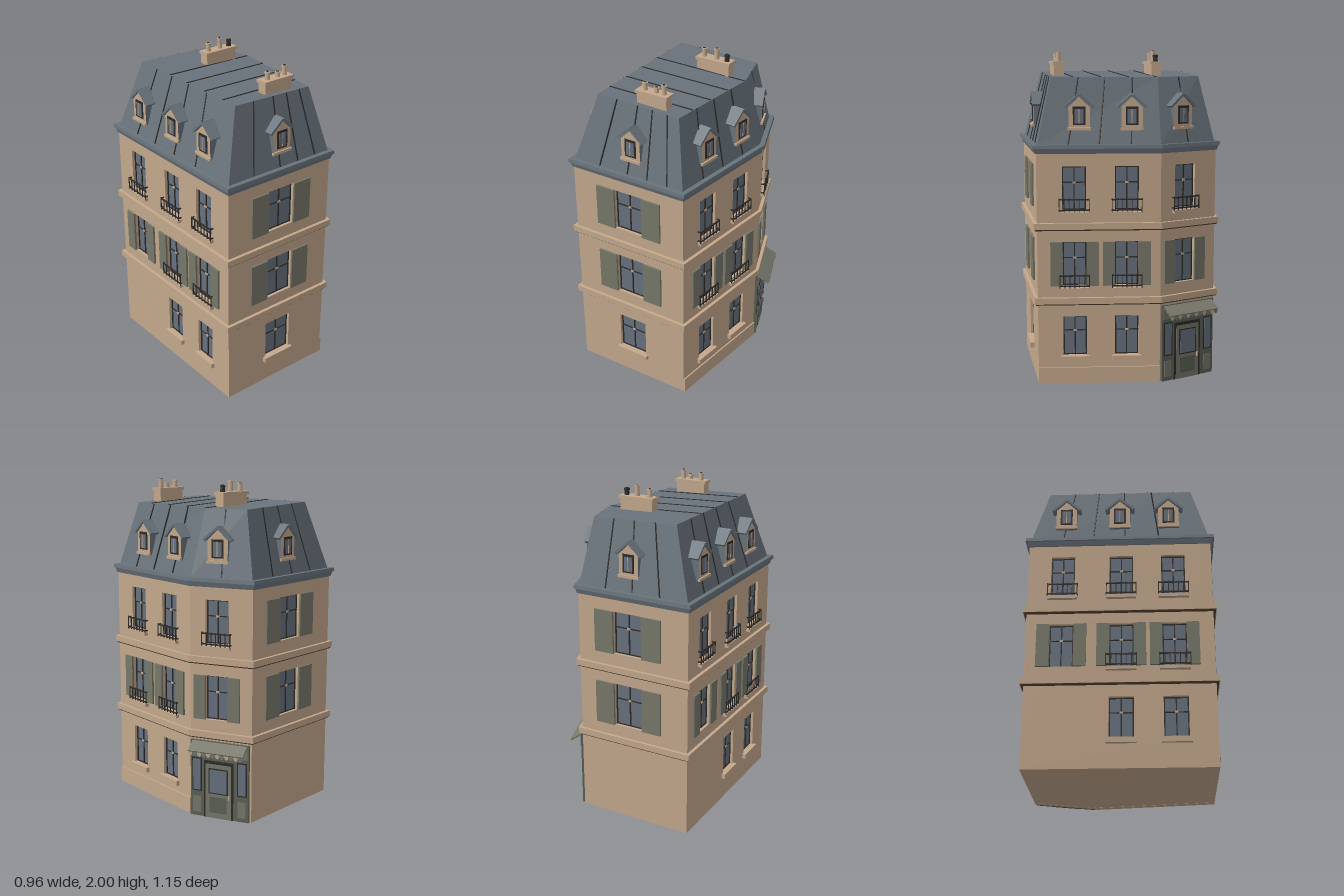
import * as THREE from 'three';

const mat = (name, color, side = THREE.FrontSide) => {
  const m = new THREE.MeshStandardMaterial({ color, side });
  m.name = name;
  return m;
};
const M = {
  wall: mat('warm stone', 0xc4a88c),
  roof: mat('slate', 0x69737b),
  shutter: mat('grey olive', 0x77786a),
  glass: mat('window glass', 0x67717e),
  dark: mat('dark iron', 0x2f2d2b),
  trim: mat('dark brown', 0x54402f),
  shop: mat('shopfront green', 0x5c6257),
  cloth: mat('awning trim', 0xb8a58c, THREE.DoubleSide),
};

function add(parent, name, geo, material, x = 0, y = 0, z = 0) {
  const m = new THREE.Mesh(geo, material);
  m.name = name;
  m.position.set(x, y, z);
  parent.add(m);
  return m;
}
const box = (parent, name, material, w, h, d, x, y, z) =>
  add(parent, name, new THREE.BoxGeometry(w, h, d), material, x, y, z);

// Thin square bar between two points
function bar(parent, name, material, a, b, w) {
  const m = box(parent, name, material, w, w, a.distanceTo(b), 0, 0, 0);
  m.position.copy(a).lerp(b, 0.5);
  m.lookAt(b);
  return m;
}

// Plan of the house as [x, z], front left corner first
const PLAN = [[-0.46, 0.55], [0.3, 0.55], [0.4, -0.18], [0.27, -0.55], [-0.46, -0.55]];
const roofY = (x) => 1.865 - (x + 0.33) * 0.033;
const ROOF_TOP = [[-0.33, 0.445], [0.21, 0.445], [0.275, -0.185], [0.21, -0.45], [-0.33, -0.45]];

// Plan pushed outward by a distance, with mitred corners
function offset(pts, o) {
  const n = pts.length;
  const normal = (i) => {
    const a = pts[i % n], b = pts[(i + 1) % n];
    const dx = b[0] - a[0], dz = b[1] - a[1], l = Math.hypot(dx, dz);
    return [-dz / l, dx / l];
  };
  return pts.map((p, i) => {
    const a = normal(i + n - 1), b = normal(i);
    const k = o / (1 + a[0] * b[0] + a[1] * b[1]);
    return [p[0] + (a[0] + b[0]) * k, p[1] + (a[1] + b[1]) * k];
  });
}

// Solid between two plans, each height given as a number or a function of x
function prism(lower, y0, upper, y1) {
  const at = (p, y) => [p[0], typeof y === 'function' ? y(p[0]) : y, p[1]];
  const b = lower.map((p) => at(p, y0)), t = upper.map((p) => at(p, y1));
  const v = [], n = b.length;
  for (let i = 0; i < n; i++) {
    const j = (i + 1) % n;
    v.push(...b[i], ...b[j], ...t[j], ...b[i], ...t[j], ...t[i]);
    if (i > 0 && j > 0) v.push(...t[0], ...t[i], ...t[j], ...b[0], ...b[j], ...b[i]);
  }
  const g = new THREE.BufferGeometry();
  g.setAttribute('position', new THREE.Float32BufferAttribute(v, 3));
  g.computeVertexNormals();
  return g;
}

const DEPTH = 0.035;
// Recessed window with glazing bars, and optional shutters, sill and balcony
function addWindow(parent, { s, y0, y1, w, shutter = 0, sill, balcony }) {
  const g = new THREE.Group();
  g.name = 'window';
  g.position.set(s, 0, 0);
  parent.add(g);
  const h = y1 - y0, cy = (y0 + y1) / 2;
  box(g, 'glass', M.glass, w, h, 0.008, 0, cy, -DEPTH + 0.008);
  for (const x of [-w / 2 + 0.004, 0, w / 2 - 0.004])
    box(g, 'glazingBar', M.dark, 0.007, h, 0.008, x, cy, -DEPTH + 0.014);
  for (const y of [y0 + 0.004, y0 + h * 0.63, y1 - 0.004])
    box(g, 'glazingRail', M.dark, w, 0.006, 0.008, 0, y, -DEPTH + 0.014);
  box(g, 'windowCatch', M.wall, 0.02, 0.012, 0.004, 0, y0 + h * 0.63, -DEPTH + 0.02);
  if (shutter) for (const d of [-1, 1])
    box(g, 'shutter', M.shutter, shutter, h, 0.012, d * (w + shutter) / 2, cy, 0.006);
  if (sill) box(g, 'sill', M.wall, w + 0.03, 0.032, 0.036, 0, y0 - 0.016, 0.005);
  if (balcony) {
    const bw = w + 0.035, zz = 0.021;
    box(g, 'balconyFloor', M.wall, bw, 0.02, 0.026, 0, y0 - 0.02, 0.012);
    for (const y of [y0 + 0.002, y0 + 0.065]) {
      box(g, 'balconyRail', M.dark, bw, 0.008, 0.006, 0, y, zz);
      for (const d of [-1, 1]) box(g, 'balconyEnd', M.dark, 0.006, 0.008, 0.022, d * bw / 2, y, 0.012);
    }
    for (let i = 0; i <= 6; i++)
      box(g, 'baluster', M.dark, 0.005, 0.085, 0.005, (i / 6 - 0.5) * bw, y0 + 0.03, zz);
  }
}

// Gabled dormer standing on the mansard slope
function addDormer(parent, s) {
  const g = new THREE.Group();
  g.name = 'dormer';
  g.position.set(s, 0, -0.02);
  parent.add(g);
  const shape = new THREE.Shape([[-0.063, 1.54], [0.063, 1.54], [0.063, 1.675], [0, 1.735], [-0.063, 1.675]]
    .map((p) => new THREE.Vector2(...p)));
  add(g, 'dormerBody', new THREE.ExtrudeGeometry(shape, { depth: 0.1, bevelEnabled: false }),
    [M.wall, M.roof], 0, 0, -0.1);
  for (const d of [-1, 1]) {
    const m = box(g, 'dormerRoof', M.roof, 0.113, 0.014, 0.105, d * 0.043, 1.71, -0.045);
    m.rotation.z = -d * 0.72;
  }
  box(g, 'dormerSill', M.wall, 0.135, 0.016, 0.014, 0, 1.548, 0.003);
  box(g, 'dormerFrame', M.dark, 0.074, 0.108, 0.004, 0, 1.625, 0.002);
  box(g, 'dormerGlass', M.glass, 0.052, 0.084, 0.004, 0, 1.622, 0.004);
  box(g, 'dormerGlazingBar', M.wall, 0.005, 0.084, 0.003, 0, 1.622, 0.006);
}

// Shopfront with door, side windows and awning
function addShop(parent, len) {
  const g = new THREE.Group();
  g.name = 'shopfront';
  g.position.set(len / 2 - 0.003, 0, 0);
  parent.add(g);
  box(g, 'shopPanel', M.shop, 0.375, 0.48, 0.02, 0, 0.24, 0.006);
  box(g, 'shopFascia', M.shutter, 0.36, 0.075, 0.008, 0, 0.43, 0.018);
  box(g, 'doorSurround', M.dark, 0.19, 0.36, 0.005, -0.005, 0.18, 0.017);
  box(g, 'door', M.shutter, 0.165, 0.34, 0.008, -0.005, 0.17, 0.018);
  box(g, 'doorGlassFrame', M.dark, 0.125, 0.16, 0.004, -0.005, 0.235, 0.022);
  box(g, 'doorGlass', M.glass, 0.11, 0.145, 0.004, -0.005, 0.235, 0.024);
  box(g, 'doorPanel', M.shop, 0.11, 0.1, 0.004, -0.005, 0.085, 0.022);
  box(g, 'doorHandle', M.wall, 0.008, 0.025, 0.01, 0.065, 0.14, 0.026);
  for (const d of [-1, 1]) {
    box(g, 'shopWindowFrame', M.dark, 0.062, 0.21, 0.004, d * 0.145, 0.265, 0.017);
    box(g, 'shopWindow', M.glass, 0.048, 0.195, 0.004, d * 0.145, 0.265, 0.019);
    box(g, 'shopLowerPanel', M.shutter, 0.052, 0.1, 0.004, d * 0.145, 0.075, 0.017);
  }
  const awning = box(g, 'awning', M.shutter, 0.35, 0.01, 0.095, 0, 0.452, 0.045);
  awning.rotation.x = 0.55;
  for (let i = 0; i < 12; i++)
    add(g, 'awningScallop', new THREE.CircleGeometry(0.0145, 8, Math.PI, Math.PI),
      i % 2 ? M.shutter : M.cloth, (i - 5.5) * 0.029, 0.426, 0.086).scale.y = 1.8;
}

// Chimney stack with a row of pots
function addChimney(parent, x, z, w, pots) {
  const g = new THREE.Group();
  g.name = 'chimney';
  g.position.set(x, 0, z);
  parent.add(g);
  box(g, 'chimneyStack', M.wall, w - 0.015, 0.09, 0.06, 0, 1.88, 0);
  box(g, 'chimneyCap', M.wall, w, 0.018, 0.075, 0, 1.925, 0);
  pots.forEach(([px, top, material]) => {
    const h = top - 1.93;
    add(g, 'chimneyPot', new THREE.CylinderGeometry(0.012, 0.016, h, 10), material, px, 1.93 + h / 2, 0);
    add(g, 'potRim', new THREE.CylinderGeometry(0.017, 0.017, 0.01, 10), material, px, top - 0.008, 0);
    add(g, 'potMouth', new THREE.CylinderGeometry(0.009, 0.009, 0.002, 10), M.dark, px, top, 0);
  });
}

export function createModel() {
  const house = new THREE.Group();
  house.name = 'townHouse';

  // Openings on each wall: s runs left to right as seen from outside
  const ground = { y0: 0.175, y1: 0.42, sill: true };
  const second = { y0: 0.61, y1: 0.878 };
  const third = { y0: 1.07, y1: 1.33 };
  const wide = (s) => [{ ...second, s, w: 0.19, shutter: 0.125 }, { ...third, s, w: 0.19, shutter: 0.125 }];
  const narrow = (s) => [{ ...ground, s, w: 0.142 }, { ...second, s, w: 0.142, shutter: 0.073, balcony: true },
    { ...third, s, w: 0.142, balcony: true }];
  const plainColumn = (s) => [{ ...second, s, w: 0.142, shutter: 0.075 }, { ...third, s, w: 0.142, balcony: true }];
  const walls = [
    { name: 'frontWall', wins: [{ ...ground, s: 0.385, w: 0.19 }, ...wide(0.385)], dormers: [0.4] },
    { name: 'leftWall', wins: [...narrow(0.222), ...narrow(0.535)], dormers: [0.255, 0.565], plinth: true },
    { name: 'shopWall', wins: plainColumn(0.17), dormers: [0.165], shop: true },
    { name: 'backWall', wins: wide(0.335), dormers: [0.335] },
    { name: 'rightWall', wins: [...plainColumn(0.21), ...narrow(0.56), ...narrow(0.87)], dormers: [0.22, 0.55, 0.85] },
  ];
  walls.forEach((spec, i) => {
    const a = PLAN[i], b = PLAN[(i + 1) % 5];
    const dx = b[0] - a[0], dz = b[1] - a[1], len = Math.hypot(dx, dz);
    const g = new THREE.Group();
    g.name = spec.name;
    g.position.set(a[0], 0, a[1]);
    g.rotation.y = Math.atan2(-dz, dx);
    house.add(g);
    const rect = (C, x0, y0, x1, y1) =>
      new C([[x0, y0], [x1, y0], [x1, y1], [x0, y1]].map((p) => new THREE.Vector2(...p)));
    const shape = rect(THREE.Shape, 0, 0, len, 1.41);
    spec.wins.forEach((o) => shape.holes.push(rect(THREE.Path, o.s - o.w / 2, o.y0, o.s + o.w / 2, o.y1)));
    add(g, 'wallPanel', new THREE.ExtrudeGeometry(shape, { depth: DEPTH, bevelEnabled: false }), M.wall, 0, 0, -DEPTH);
    spec.wins.forEach((o) => addWindow(g, o));
    spec.dormers.forEach((s) => addDormer(g, s));
    if (spec.plinth) box(g, 'plinth', M.wall, len, 0.1, 0.012, len / 2, 0.05, 0.003);
    if (spec.shop) addShop(g, len);
  });
  add(house, 'floor', prism(offset(PLAN, -0.005), 0.001, offset(PLAN, -0.005), 0.02), M.wall);

  // Stone bands with a dark line beneath, then the eaves
  for (const y of [0.5, 0.955]) {
    add(house, 'bandShadowLine', prism(offset(PLAN, 0.012), y - 0.008, offset(PLAN, 0.016), y), M.trim);
    add(house, 'stoneBand', prism(offset(PLAN, 0.02), y, offset(PLAN, 0.02), y + 0.038), M.wall);
  }
  add(house, 'eaves', prism(offset(PLAN, 0.006), 1.405, offset(PLAN, 0.016), 1.44), M.roof);
  add(house, 'gutter', prism(offset(PLAN, 0.023), 1.436, offset(PLAN, 0.02), 1.458), M.roof);

  // Mansard roof and its seams
  const base = offset(PLAN, -0.008);
  add(house, 'mansardRoof', prism(base, 1.455, ROOF_TOP, roofY), M.roof);
  const seams = [[0.24, 0.5, 0.68, 0.86], [0.25, 0.5, 0.76], [0.5], [0.25, 0.5, 0.75], [0.18, 0.35, 0.53, 0.72]];
  seams.forEach((list, i) => list.forEach((t) => {
    const j = (i + 1) % 5, mix = (p) => [0, 1].map((k) => p[i][k] * (1 - t) + p[j][k] * t);
    const lo = mix(base), hi = mix(ROOF_TOP);
    bar(house, 'slopeSeam', M.dark, new THREE.Vector3(lo[0], 1.46, lo[1]),
      new THREE.Vector3(hi[0], roofY(hi[0]), hi[1]), 0.007);
  }));
  for (const z of [-0.165, 0, 0.165, 0.33]) {
    const x = 0.272 - (z + 0.185) * 0.103;
    bar(house, 'topSeam', M.dark, new THREE.Vector3(-0.33, roofY(-0.33), z + 0.005),
      new THREE.Vector3(x, roofY(x), z - 0.012), 0.007);
  }

  addChimney(house, 0.06, -0.2, 0.23, [[-0.075, 1.985, M.wall], [0.01, 2.0, M.wall], [0.08, 1.975, M.dark]]);
  addChimney(house, 0.01, 0.383, 0.21, [[-0.06, 1.98, M.wall], [0.015, 1.965, M.wall], [0.065, 1.99, M.wall]]);
  return house;
}
